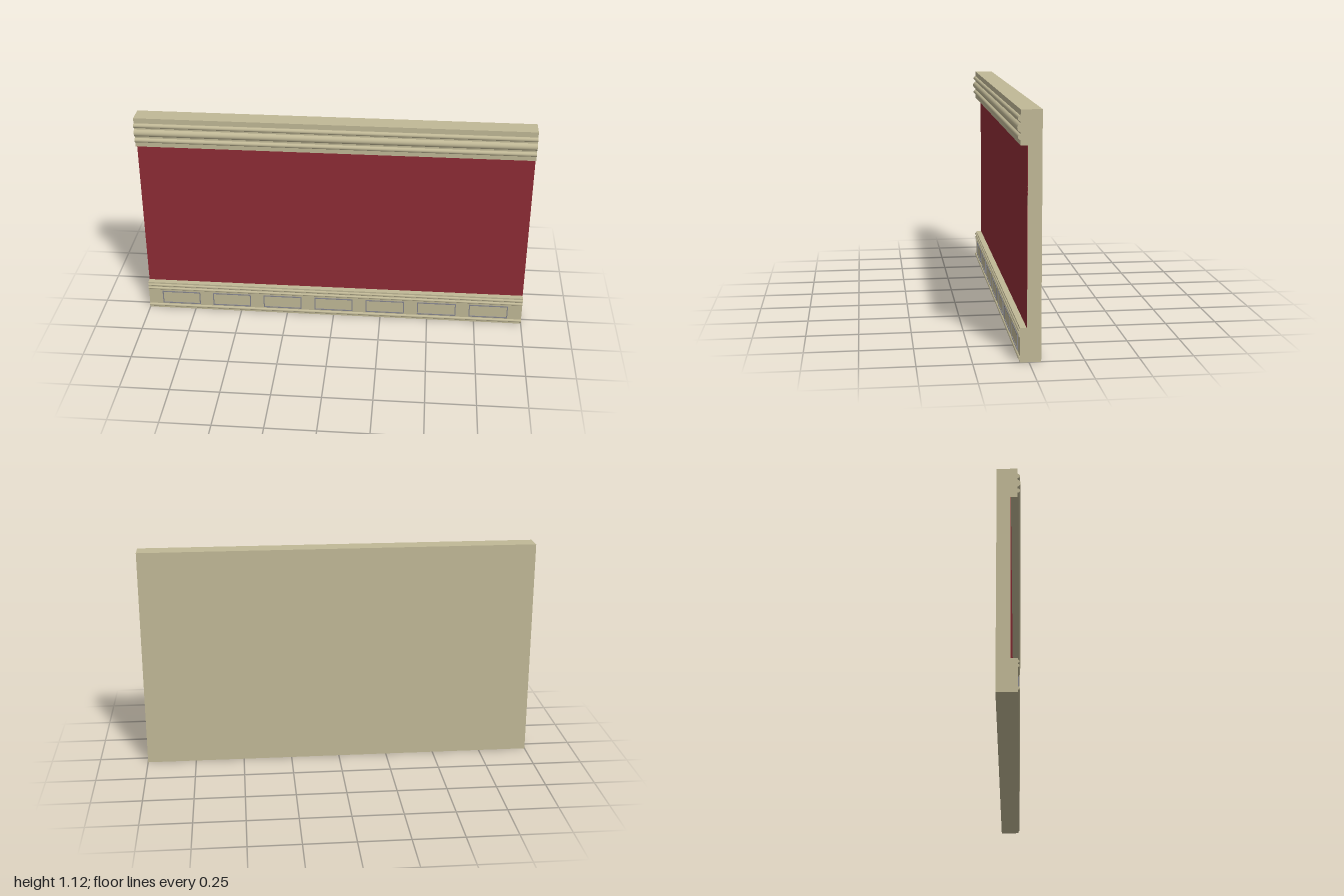
import * as THREE from 'three';

const material = (name, color) => {
  const m = new THREE.MeshStandardMaterial({ color });
  m.name = name;
  return m;
};

export function createModel() {
  const plaster = material('beige plaster', 0xc0b896);
  const red = material('red wall paint', 0x8e2c35);
  const grey = material('grey frame', 0x85858c);
  const group = new THREE.Group();
  group.name = 'wallSection';

  const add = (name, geometry, mat, x, y, z) => {
    const mesh = new THREE.Mesh(geometry, mat);
    mesh.name = name;
    mesh.position.set(x, y, z);
    group.add(mesh);
    return mesh;
  };

  // Wall with baseboard and cornice: one [z, y] profile extruded along x
  const profile = [
    [-0.055, 0], [0.04, 0], [0.04, 0.158], [0.009, 0.158],
    [0.009, 0.97], [0.04, 0.97], [0.04, 1.125], [-0.055, 1.125],
  ];
  const section = new THREE.Shape(profile.map(([z, y]) => new THREE.Vector2(-z, y)));
  const wall = new THREE.ExtrudeGeometry(section, { depth: 2, bevelEnabled: false });
  wall.rotateY(Math.PI / 2);
  add('wall', wall, plaster, -1, 0, 0);

  // Painted field between the two trims
  add('paintedField', new THREE.BoxGeometry(2, 0.812, 0.002), red, 0, 0.564, 0.0095);

  // Round mouldings: name, height, radius, centre depth
  const beads = [
    ['corniceUpperBead', 1.086, 0.012, 0.04],
    ['corniceMainBead', 1.046, 0.02, 0.035],
    ['corniceLowerBead', 1.006, 0.012, 0.04],
    ['baseboardUpperBead', 0.143, 0.007, 0.04],
    ['baseboardSecondBead', 0.123, 0.007, 0.04],
    ['baseboardFootBead', 0.018, 0.008, 0.04],
  ];
  for (const [name, y, r, z] of beads) {
    const bead = new THREE.CylinderGeometry(r, r, 2, 24);
    bead.rotateZ(Math.PI / 2);
    add(name, bead, plaster, 0, y, z);
  }

  // Thin rectangular frames along the baseboard
  const rectangle = (target, w, h) => target
    .moveTo(-w / 2, -h / 2).lineTo(w / 2, -h / 2)
    .lineTo(w / 2, h / 2).lineTo(-w / 2, h / 2).closePath();
  const outline = rectangle(new THREE.Shape(), 0.205, 0.074);
  outline.holes.push(rectangle(new THREE.Path(), 0.195, 0.064));
  const frame = new THREE.ExtrudeGeometry(outline, { depth: 0.004, bevelEnabled: false });
  for (let i = -3; i <= 3; i++) {
    add('baseboardFrame' + (i + 4), frame, grey, i * 0.2745, 0.069, 0.0395);
  }

  return group;
}
